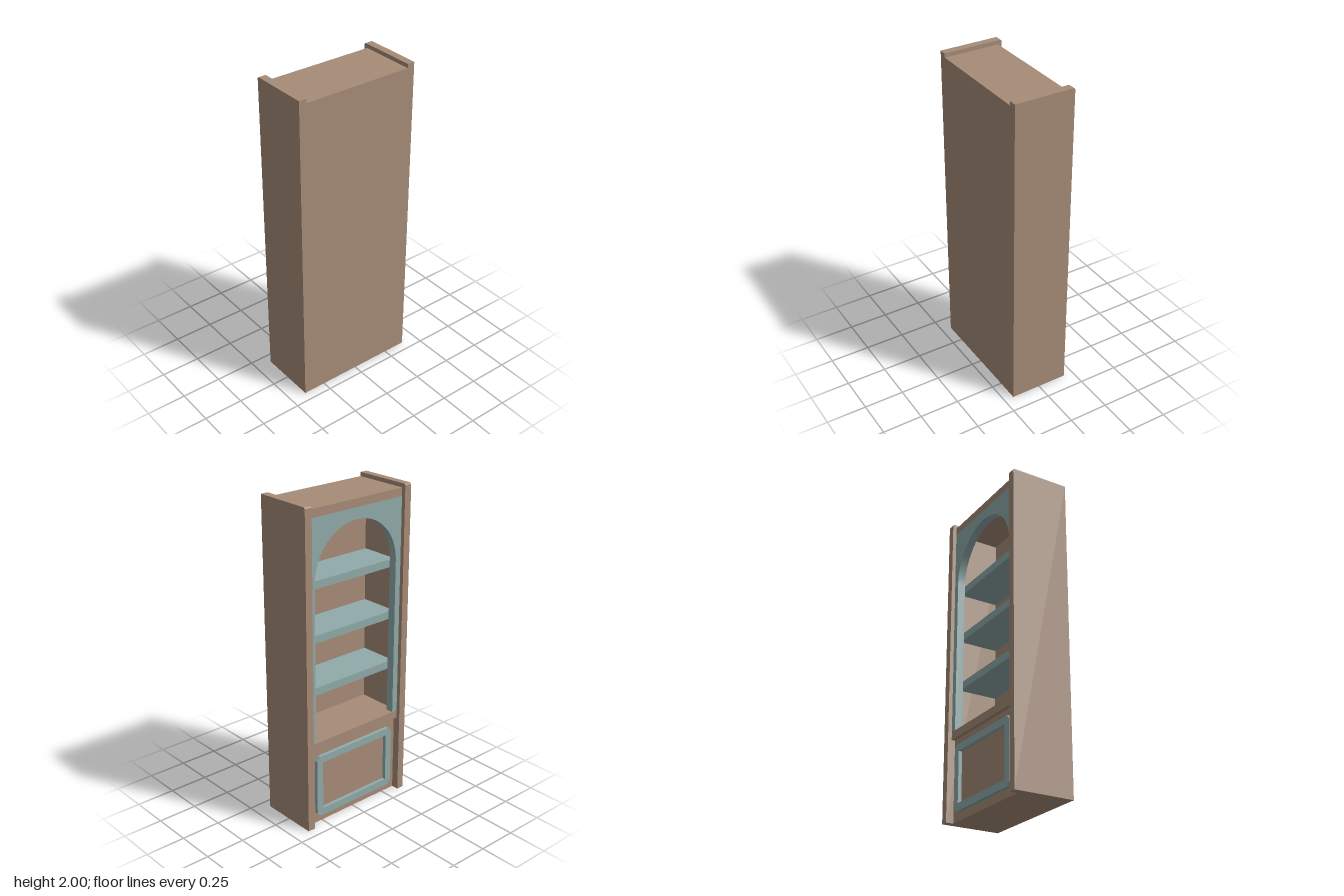
import * as THREE from 'three';

const HALF_X = 0.1875;   // depth runs along x, the open side faces -x
const HALF_Z = 0.395;    // width runs along z
const INNER_Z = 0.348;   // inside of the side panels
const FRONT = -0.163;    // plane of the face frame
const RECESS = -0.14;    // plane of the lower cabinet front
const BACK = 0.1375;     // inside of the back panel
const SHELF_Y = 0.556;   // top of the counter

export function createModel() {
  const wood = new THREE.MeshStandardMaterial({ color: 0xa78c78 });
  wood.name = 'brownWood';
  const paint = new THREE.MeshStandardMaterial({ color: 0x90abaa });
  paint.name = 'tealPaint';
  const group = new THREE.Group();
  group.name = 'bookcase';

  const add = (name, geometry, material) => {
    const mesh = new THREE.Mesh(geometry, material);
    mesh.name = name;
    group.add(mesh);
    return mesh;
  };

  // Box given by its limits in x and y, and its half width in z
  const board = (name, x0, x1, y0, y1, halfZ, material) => {
    const mesh = add(name, new THREE.BoxGeometry(x1 - x0, y1 - y0, halfZ * 2), material);
    mesh.position.set((x0 + x1) / 2, (y0 + y1) / 2, 0);
  };

  // Plate drawn in (z, y) whose thickness runs from x1 towards -x
  const plate = (name, shape, x0, x1, material) => {
    const geometry = new THREE.ExtrudeGeometry(shape, { depth: x1 - x0, bevelEnabled: false, curveSegments: 32 });
    geometry.rotateY(-Math.PI / 2);
    add(name, geometry, material).position.x = x1;
  };

  // Side panels with a rounded upper front edge
  const r = 0.012;
  const side = new THREE.Shape();
  side.moveTo(-HALF_X, 0);
  side.lineTo(HALF_X, 0);
  side.lineTo(HALF_X, 2);
  side.lineTo(-HALF_X + r, 2);
  side.absarc(-HALF_X + r, 2 - r, r, Math.PI / 2, Math.PI, false);
  side.closePath();
  const sideGeometry = new THREE.ExtrudeGeometry(side, {
    depth: HALF_Z - INNER_Z, bevelEnabled: false, curveSegments: 5,
  });
  add('leftSidePanel', sideGeometry, wood).position.z = INNER_Z;
  add('rightSidePanel', sideGeometry, wood).position.z = -HALF_Z;

  // Carcass
  board('backPanel', BACK, HALF_X, 0, 1.975, INNER_Z, wood);
  board('topBoard', FRONT, BACK, 1.925, 1.975, INNER_Z, wood);
  board('counter', FRONT, BACK, SHELF_Y - 0.05, SHELF_Y, INNER_Z, wood);
  board('lowerCabinet', RECESS, BACK, 0, SHELF_Y - 0.05, INNER_Z, wood);

  // Shelves
  for (let i = 1; i <= 3; i++) {
    const top = SHELF_Y + i * 0.328;
    board('shelf' + i, FRONT + 0.05, BACK, top - 0.048, top, INNER_Z, paint);
  }

  // Arched face frame
  const archR = 0.31;
  const springY = 1.546;
  const arch = new THREE.Shape();
  arch.moveTo(-INNER_Z, SHELF_Y);
  arch.lineTo(-archR, SHELF_Y);
  arch.lineTo(-archR, springY);
  arch.absarc(0, springY, archR, Math.PI, 0, true);
  arch.lineTo(archR, SHELF_Y);
  arch.lineTo(INNER_Z, SHELF_Y);
  arch.lineTo(INNER_Z, 1.925);
  arch.lineTo(-INNER_Z, 1.925);
  arch.closePath();
  plate('archFrame', arch, FRONT, FRONT + 0.05, paint);

  // Raised door moulding with clipped corners and a square opening
  const w = 0.303, y0 = 0.05, y1 = 0.456, c = 0.025, t = 0.045;
  const door = new THREE.Shape([
    [-w + c, y0], [w - c, y0], [w, y0 + c], [w, y1 - c],
    [w - c, y1], [-w + c, y1], [-w, y1 - c], [-w, y0 + c],
  ].map(([z, y]) => new THREE.Vector2(z, y)));
  door.holes.push(new THREE.Path([
    [-w + t, y0 + t], [-w + t, y1 - t], [w - t, y1 - t], [w - t, y0 + t],
  ].map(([z, y]) => new THREE.Vector2(z, y))));
  plate('doorMoulding', door, FRONT, RECESS, paint);

  return group;
}
